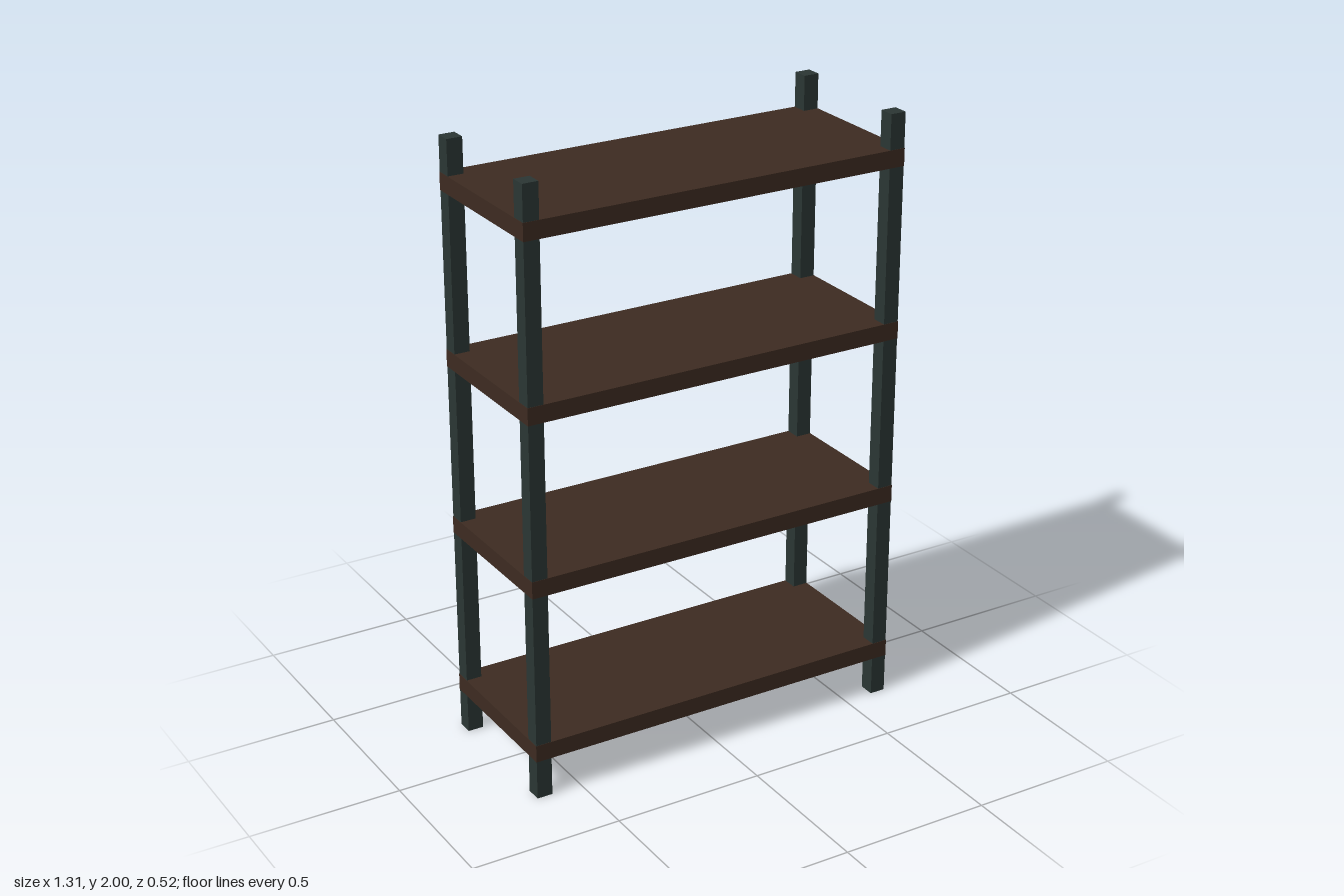
import * as THREE from 'three';

const WIDTH = 1.307, DEPTH = 0.523, HEIGHT = 2;
const POST = 0.052, BOARD = 0.057;

export function createModel() {
  const group = new THREE.Group();
  group.name = 'shelvingUnit';
  const metal = new THREE.MeshStandardMaterial({ color: 0x2b3634 });
  metal.name = 'dark metal';
  const wood = new THREE.MeshStandardMaterial({ color: 0x3d2b21 });
  wood.name = 'dark wood';

  const addBox = (name, size, position, material) => {
    const mesh = new THREE.Mesh(new THREE.BoxGeometry(...size), material);
    mesh.name = name;
    mesh.position.set(...position);
    group.add(mesh);
  };

  // Four square corner posts
  for (const x of [-1, 1]) {
    for (const z of [-1, 1]) {
      const name = (z > 0 ? 'front' : 'back') + (x > 0 ? 'Left' : 'Right') + 'Post';
      addBox(name, [POST, HEIGHT, POST],
        [x * (WIDTH - POST) / 2, HEIGHT / 2, z * (DEPTH - POST) / 2], metal);
    }
  }

  // Four evenly spaced boards, a hair proud of the posts
  for (let i = 0; i < 4; i++) {
    addBox(`shelf${i + 1}`, [WIDTH + 0.002, BOARD, DEPTH + 0.002],
      [0, 0.159 + i * 0.566, 0], wood);
  }
  return group;
}
